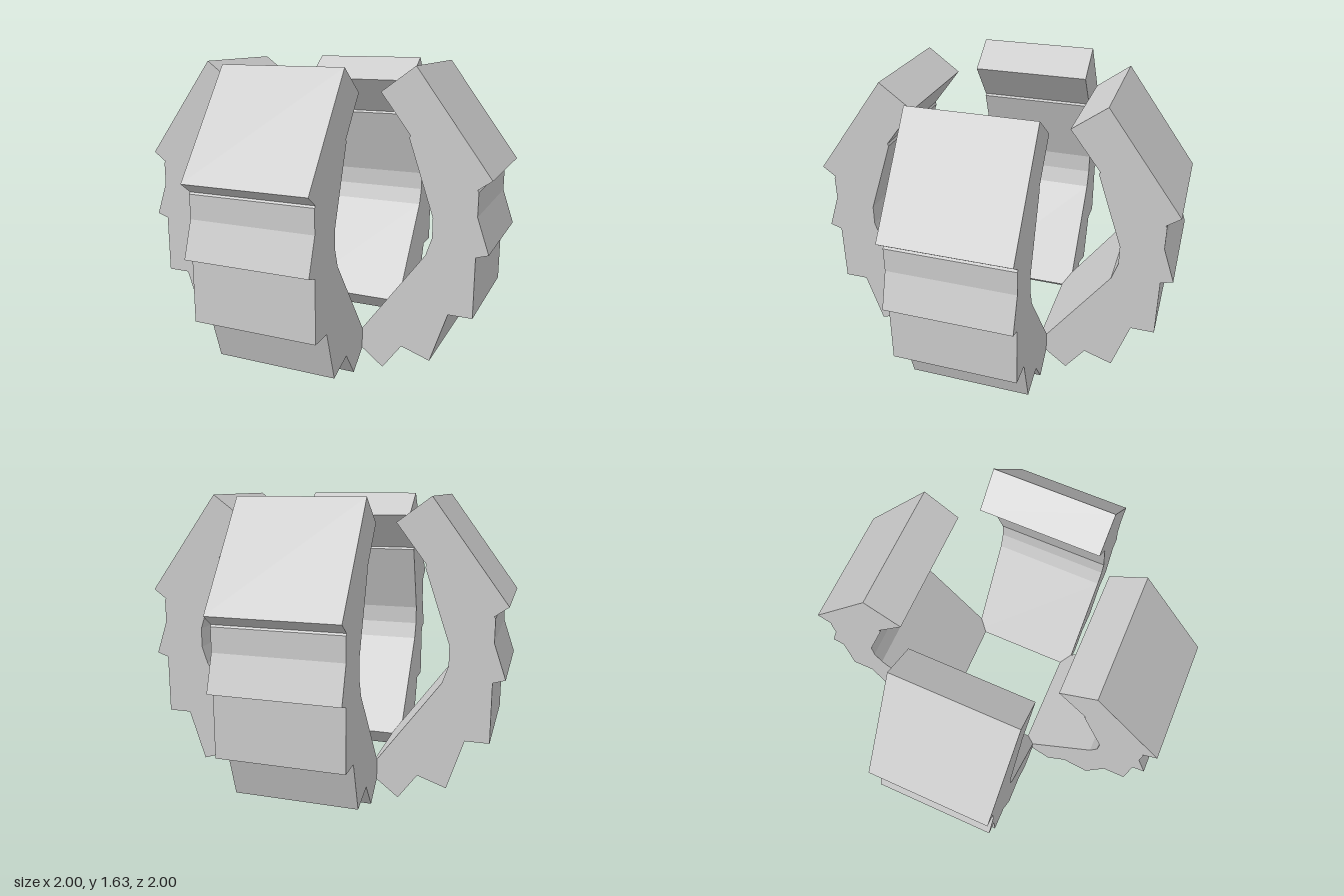
import * as THREE from 'three';

const HALF_WIDTH = 0.335;

// Claw outline as (distance from centre, height): three tilted blocks above two lower ones
const OUTLINE = [
  [0.28, 0.135], [0.455, 0], [0.56, 0.143], [0.717, 0.09], [0.807, 0.368],
  [0.935, 0.368], [0.935, 0.695], [1, 0.715], [0.935, 0.904], [0.935, 1.03],
  [0.928, 1.04], [1, 1.092], [0.6, 1.63], [0.42, 1.498], [0.58, 1.288],
  [0.574, 1.275], [0.709, 0.877], [0.709, 0.77], [0.677, 0.674],
];

export function createModel() {
  const model = new THREE.Group();
  model.name = 'clawCrown';

  const stone = new THREE.MeshStandardMaterial({ color: 0xcccccc });
  stone.name = 'plain grey';

  // One claw, extruded from its side outline
  const shape = new THREE.Shape(OUTLINE.map(([r, y]) => new THREE.Vector2(r, y)));
  const clawGeometry = new THREE.ExtrudeGeometry(shape, { depth: 2 * HALF_WIDTH, bevelEnabled: false });
  clawGeometry.translate(0, 0, -HALF_WIDTH);

  // Four claws around the centre, meeting at the base
  ['leftClaw', 'backClaw', 'rightClaw', 'frontClaw'].forEach((name, i) => {
    const claw = new THREE.Mesh(clawGeometry, stone);
    claw.name = name;
    claw.rotation.y = i * Math.PI / 2;
    model.add(claw);
  });

  return model;
}
